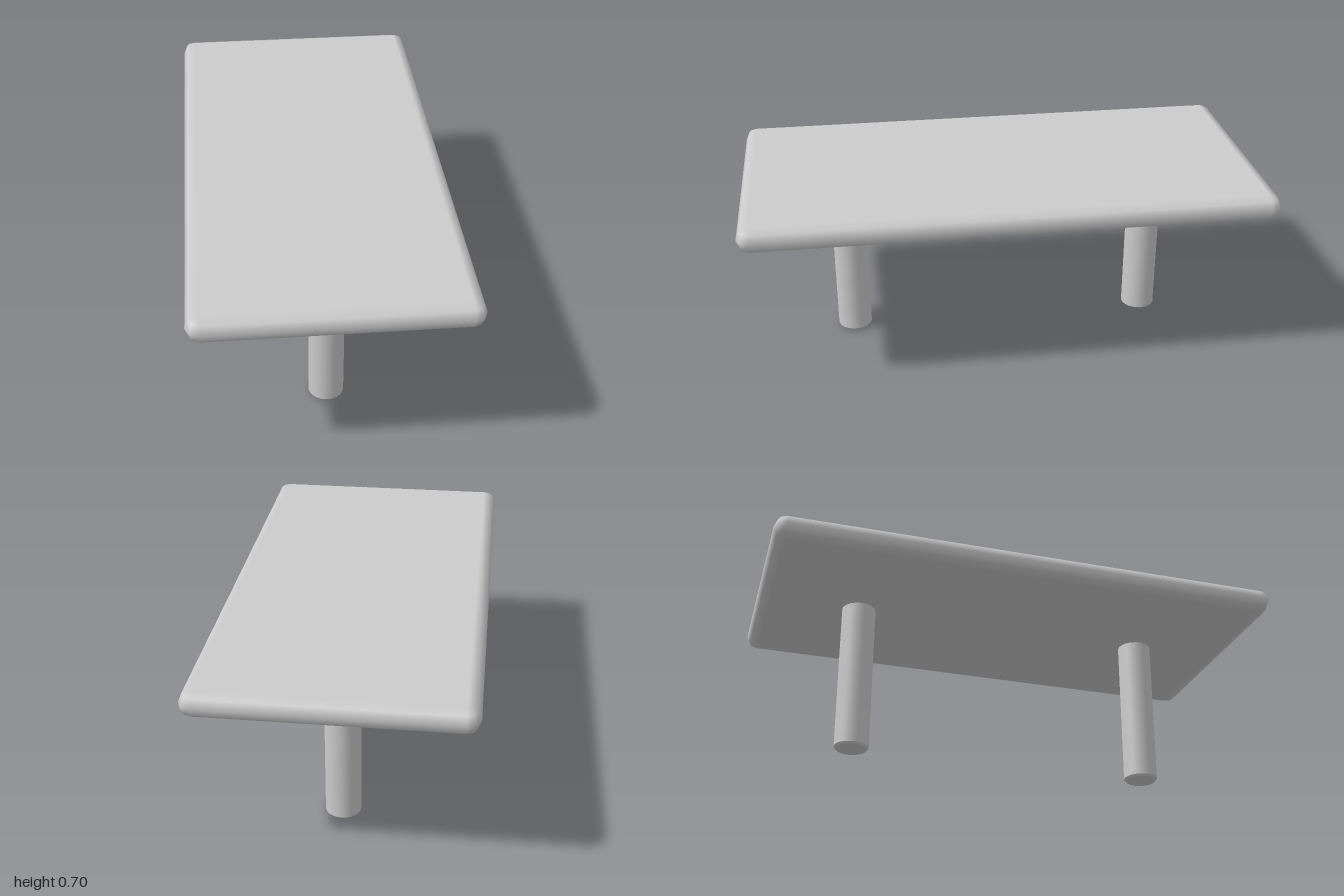
import * as THREE from 'three';

const WIDTH = 1.002, LENGTH = 2, RADIUS = 0.047, CENTER_Y = 0.65;
const LEG_RADIUS = 0.067, LEG_Z = 0.598, BEVEL = 0.008;

// Slab with faceted round edges: rings stacked from bottom to top, closed by two caps
function roundedSlab(width, length, r) {
  const levels = 4, cornerSteps = 2, count = 4 * (cornerSteps + 1);
  const positions = [], normals = [], index = [];
  for (let level = 0; level <= levels; level++) {
    const tilt = (level / levels - 0.5) * Math.PI;
    for (let corner = 0; corner < 4; corner++) {
      const sx = corner === 0 || corner === 3 ? 1 : -1;
      const sz = corner < 2 ? 1 : -1;
      for (let s = 0; s <= cornerSteps; s++) {
        const a = (corner + s / cornerSteps) * Math.PI / 2;
        const n = [Math.cos(tilt) * Math.cos(a), Math.sin(tilt), Math.cos(tilt) * Math.sin(a)];
        positions.push(sx * (width / 2 - r) + r * n[0], r * n[1], sz * (length / 2 - r) + r * n[2]);
        normals.push(...n);
      }
    }
  }
  for (let level = 0; level < levels; level++) {
    for (let i = 0; i < count; i++) {
      const a = level * count + i, b = level * count + (i + 1) % count;
      index.push(a, a + count, b, b, a + count, b + count);
    }
  }
  // Flat caps
  const top = levels * count;
  for (let i = 1; i < count - 1; i++) {
    index.push(0, i, i + 1);
    index.push(top, top + i + 1, top + i);
  }
  const geometry = new THREE.BufferGeometry();
  geometry.setAttribute('position', new THREE.Float32BufferAttribute(positions, 3));
  geometry.setAttribute('normal', new THREE.Float32BufferAttribute(normals, 3));
  geometry.setIndex(index);
  return geometry;
}

export function createModel() {
  const model = new THREE.Group();
  model.name = 'table';
  const material = new THREE.MeshStandardMaterial({ color: 0xcccccc });

  // Tabletop
  const tabletop = new THREE.Mesh(roundedSlab(WIDTH, LENGTH, RADIUS), material);
  tabletop.name = 'tabletop';
  tabletop.position.y = CENTER_Y;
  model.add(tabletop);

  // Two round legs with a small bevel at the foot; doubled points keep edges crisp
  const profile = [
    [0, 0], [LEG_RADIUS - BEVEL, 0], [LEG_RADIUS - BEVEL, 0],
    [LEG_RADIUS, BEVEL], [LEG_RADIUS, BEVEL],
    [LEG_RADIUS, 0.61], [LEG_RADIUS, 0.61], [0, 0.61],
  ].map(([x, y]) => new THREE.Vector2(x, y));
  const legGeometry = new THREE.LatheGeometry(profile, 32);
  for (const [name, side] of [['frontLeg', 1], ['backLeg', -1]]) {
    const leg = new THREE.Mesh(legGeometry, material);
    leg.name = name;
    leg.position.z = side * LEG_Z;
    model.add(leg);
  }
  return model;
}
